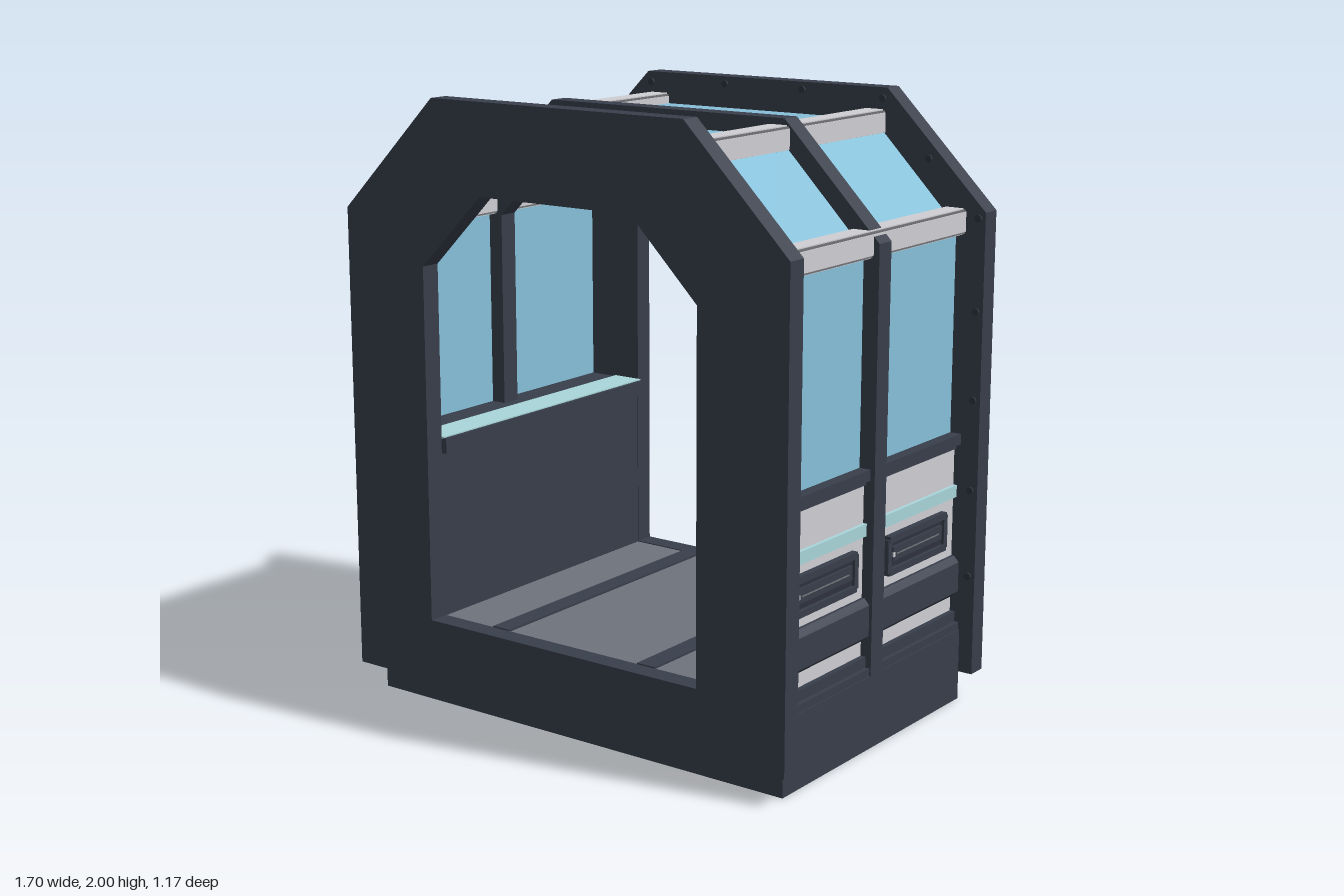
import * as THREE from 'three';

const mat = (name, color) => Object.assign(new THREE.MeshStandardMaterial({ color, flatShading: true }), { name });
const M = {
  frame: mat('dark slate', 0x383e4b),
  handle: mat('deep slate', 0x2e323e),
  light: mat('light grey', 0xd0d0d4),
  trim: mat('trim grey', 0x727377),
  glass: mat('blue glass', 0x86c0d9),
  teal: mat('pale teal', 0xa9d6da),
  floor: mat('floor grey', 0x6f737d),
};

export function createModel() {
  const root = new THREE.Group();
  root.name = 'corridorSection';

  const add = (name, geo, m, x = 0, y = 0, z = 0, parent = root) => {
    const mesh = new THREE.Mesh(geo, m);
    mesh.name = name;
    mesh.position.set(x, y, z);
    parent.add(mesh);
    return mesh;
  };
  // box given by its limits on each axis
  const box = (name, m, x0, x1, y0, y1, z0, z1, parent) =>
    add(name, new THREE.BoxGeometry(Math.abs(x1 - x0), y1 - y0, z1 - z0), m,
      (x0 + x1) / 2, (y0 + y1) / 2, (z0 + z1) / 2, parent);
  const extrude = (shape, depth) =>
    new THREE.ExtrudeGeometry(shape, { depth, bevelEnabled: false }).translate(0, 0, -depth / 2);
  const points = list => list.map(p => new THREE.Vector2(p[0], p[1]));

  // end frames: chamfered portals
  const portal = new THREE.Shape(points([[-0.85, 0.095], [0.85, 0.095], [0.85, 1.63],
    [0.48, 2], [-0.48, 2], [-0.85, 1.63]]));
  portal.holes.push(new THREE.Path(points([[-0.53, 0.305], [-0.53, 1.47], [-0.29, 1.71],
    [0.29, 1.71], [0.53, 1.47], [0.53, 0.305]])));
  for (const s of [1, -1]) add('endFrame', extrude(portal, 0.068), M.frame, 0, 0, s * 0.553);

  // open arch between two inward offsets of the shell outline
  const outline = (d, y0) => {
    const k = 0.414 * d;
    const half = [[0.8 - d, y0], [0.8 - d, 1.6 - k], [0.455 - k, 1.95 - d]];
    return [...half, ...half.map(([x, y]) => [-x, y]).reverse()];
  };
  const arch = (outer, inner, y0, depth) =>
    extrude(new THREE.Shape(points([...outline(outer, y0), ...outline(inner, y0).reverse()])), depth);
  add('middleRib', arch(0, 0.12, 0.24, 0.068), M.frame);
  for (const s of [1, -1]) add('glassShell', arch(0.055, 0.068, 0.89, 0.487), M.glass, 0, 0, s * 0.2765);

  // base and floor
  box('base', M.frame, -0.8, 0.8, 0, 0.24, -0.52, 0.52);
  box('floor', M.floor, -0.54, 0.54, 0.24, 0.302, -0.52, 0.52);
  for (const s of [1, -1]) box('floorStrip', M.frame, s * 0.258, s * 0.325, 0.29, 0.309, -0.52, 0.52);

  // side walls, with dark panels on the right
  for (const s of [1, -1]) {
    const wall = new THREE.Group();
    wall.name = s > 0 ? 'leftWall' : 'rightWall';
    root.add(wall);
    const panel = s > 0 ? M.light : M.frame;
    const bar = (name, m, x0, x1, y0, y1, z0 = -0.52, z1 = 0.52) =>
      box(name, m, s * x0, s * x1, y0, y1, z0, z1, wall);

    bar('wallPanel', panel, 0.532, 0.762, 0.24, 0.86);
    bar('lowerLedge', M.frame, 0.75, 0.795, 0.24, 0.265);
    bar('lowerLip', M.frame, 0.75, 0.78, 0.265, 0.3);

    // bevelled beam, sill and their inner rail
    const beam = new THREE.Shape(points([[0.75, 0.355], [0.775, 0.355], [0.79, 0.37],
      [0.79, 0.47], [0.772, 0.49], [0.75, 0.49]].map(([x, y]) => [s * x, y])));
    add('sideBeam', extrude(beam, 1.04), M.frame, 0, 0, 0, wall);
    bar('windowSill', M.frame, 0.51, 0.785, 0.868, 0.903);
    bar('sillUnderside', M.frame, 0.51, 0.77, 0.852, 0.868);
    bar('sillTopStrip', M.teal, 0.52, 0.63, 0.9, 0.907);
    bar('outerStripe', M.teal, 0.76, 0.775, 0.69, 0.73);

    // recessed handle boxes
    for (const z of [0.27, -0.27]) {
      const handle = new THREE.Group();
      handle.name = 'handleBox';
      wall.add(handle);
      const part = (name, m, x0, x1, y0, y1, z0, z1) =>
        box(name, m, s * x0, s * x1, y0, y1, z + z0, z + z1, handle);
      part('handlePlate', M.handle, 0.76, 0.772, 0.54, 0.645, -0.175, 0.175);
      for (const [a, b] of [[0.528, 0.55], [0.635, 0.657]])
        part('handleBorder', M.frame, 0.76, 0.783, a, b, -0.175, 0.175);
      for (const e of [-0.172, 0.172])
        part('handleBorder', M.frame, 0.76, 0.782, 0.538, 0.647, e - 0.011, e + 0.011);
      part('handleBar', M.frame, 0.77, 0.78, 0.572, 0.618, -0.15, 0.15);
      part('handleSlit', M.trim, 0.778, 0.782, 0.591, 0.595, -0.13, 0.13);
      part('handleScrew', M.light, 0.778, 0.783, 0.586, 0.6, 0.141, 0.153);
    }

    // roof rails along both shoulders, notched at the corners
    for (const [x, y] of [[0.433, 1.888], [0.738, 1.595]]) {
      const rail = (name, m, w, h) =>
        box(name, m, s * x - w / 2, s * x + w / 2, y - h / 2, y + h / 2, -0.52, 0.52, wall);
      rail('roofRail', M.light, 0.084, 0.064);
      rail('roofRail', M.light, 0.064, 0.084);
      rail('roofRailCorners', M.trim, 0.077, 0.077);
    }

    // bolts on the inner faces of the end frames
    const bolts = [[0.826, 0.43], [0.826, 0.72], [0.826, 1.02], [0.826, 1.31], [0.826, 1.61],
      [0.64, 1.785], [0.465, 1.965], [0.155, 1.975]];
    for (const [x, y] of bolts) for (const e of [1, -1]) {
      const bolt = add('frameBolt', new THREE.CylinderGeometry(0.012, 0.012, 0.014, 8), M.handle,
        s * x, y, e * 0.518, wall);
      bolt.rotation.x = Math.PI / 2;
    }
  }
  return root;
}
